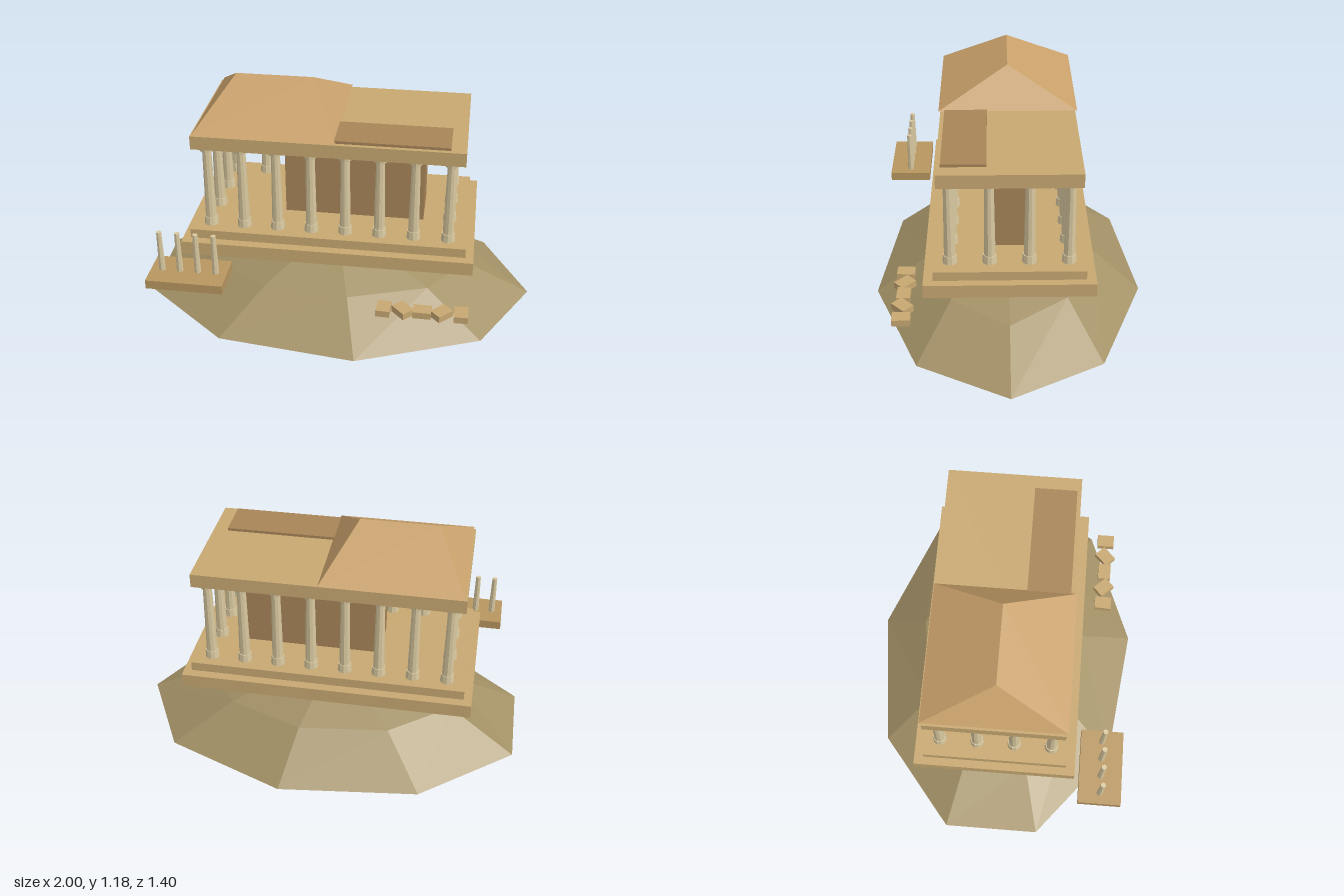
import * as THREE from 'three';

const mat = (color) => new THREE.MeshStandardMaterial({ color, flatShading: true });
const STONE = mat(0xc8a872), PALE = mat(0xd9c9a0), WALL = mat(0xa88558), ROOF = mat(0xc8a06a), EARTH = mat(0xa39166);
const CX = -0.035; // the temple sits slightly off centre

function add(parent, name, geometry, material, x = 0, y = 0, z = 0) {
  const mesh = new THREE.Mesh(geometry, material);
  mesh.name = name;
  mesh.position.set(x, y, z);
  parent.add(mesh);
  return mesh;
}

// box given by its min and max on each axis
function slab(parent, name, material, [x0, x1], [y0, y1], [z0, z1]) {
  return add(parent, name, new THREE.BoxGeometry(x1 - x0, y1 - y0, z1 - z0), material,
    (x0 + x1) / 2, (y0 + y1) / 2, (z0 + z1) / 2);
}

// faceted oval mound: a two-step cone whose middle ring is uneven
function hill() {
  const height = 0.365;
  const geo = new THREE.ConeGeometry(1, height, 9, 2);
  geo.rotateY(Math.PI / 2);
  geo.translate(0, height / 2, 0);
  const ringY = [0.16, 0.19, 0.205, 0.2, 0.2, 0.145, 0.18, 0.18, 0.18];
  const ringR = [0.67, 0.64, 0.65, 0.64, 0.65, 0.66, 0.62, 0.61, 0.64];
  const p = geo.attributes.position;
  for (let i = 10; i < 20; i++) {
    const k = (i - 10) % 9, r = ringR[k] / 0.5;
    p.setXYZ(i, p.getX(i) * r, ringY[k], p.getZ(i) * r);
  }
  geo.scale(1.031, 1, 0.71);
  geo.translate(-0.031, 0, 0);
  return geo;
}

// hipped roof: a box whose top edge is drawn in to a ridge
function hipRoof(x0, x1, ridge0, ridge1, y0, y1, halfZ) {
  const geo = new THREE.BoxGeometry(2, 2, 2).toNonIndexed();
  const p = geo.attributes.position;
  for (let i = 0; i < p.count; i++) {
    const left = p.getX(i) < 0;
    if (p.getY(i) > 0) p.setXYZ(i, left ? ridge0 : ridge1, y1, 0);
    else p.setXYZ(i, left ? x0 : x1, y0, p.getZ(i) * halfZ);
  }
  geo.computeVertexNormals();
  return geo;
}

function column(x, z) {
  const g = new THREE.Group();
  g.name = 'column';
  g.position.set(x, 0.478, z);
  add(g, 'columnBase', new THREE.CylinderGeometry(0.032, 0.036, 0.042, 10), PALE, 0, 0.021, 0);
  add(g, 'columnShaft', new THREE.CylinderGeometry(0.022, 0.028, 0.38, 10), PALE, 0, 0.23, 0);
  add(g, 'columnCapital', new THREE.CylinderGeometry(0.036, 0.034, 0.025, 10), PALE, 0, 0.43, 0);
  return g;
}

export function createModel() {
  const model = new THREE.Group();
  model.name = 'templeRuin';
  add(model, 'hill', hill(), EARTH);

  // stepped platform, inner chamber and beam slab
  const temple = new THREE.Group();
  temple.name = 'temple';
  model.add(temple);
  slab(temple, 'lowerStep', STONE, [CX - 0.73, CX + 0.73], [0.36, 0.43], [-0.412, 0.412]);
  slab(temple, 'upperStep', STONE, [CX - 0.69, CX + 0.69], [0.43, 0.478], [-0.365, 0.365]);
  slab(temple, 'innerChamber', WALL, [-0.28, 0.43], [0.478, 0.8], [-0.115, 0.115]);
  slab(temple, 'beamSlab', STONE, [CX - 0.665, CX + 0.665], [0.92, 0.99], [-0.338, 0.338]);

  // colonnade around the perimeter, 8 by 4
  for (let i = 0; i < 8; i++) {
    for (let j = 0; j < 4; j++) {
      if (i % 7 && j % 3) continue;
      temple.add(column(CX + (i - 3.5) * 0.171, (j - 1.5) * 0.19));
    }
  }

  // surviving half of the roof and a fallen panel
  add(temple, 'roof', hipRoof(-0.69, 0.005, -0.535, -0.145, 0.998, 1.185, 0.347), ROOF);
  slab(temple, 'roofPanel', WALL, [0, 0.555], [0.988, 1.004], [0.105, 0.317]);

  // side porch with four thin posts
  const porch = new THREE.Group();
  porch.name = 'porch';
  model.add(porch);
  slab(porch, 'porchFloor', mat(0xb8965f), [-0.882, -0.5], [0.308, 0.354], [0.44, 0.66]);
  for (let i = 0; i < 4; i++) {
    add(porch, 'porchPost', new THREE.CylinderGeometry(0.013, 0.017, 0.215, 8), PALE, -0.826 + i * 0.09, 0.4615, 0.55);
  }

  // row of loose blocks, each turned further
  for (let i = 0; i < 5; i++) {
    const block = add(model, 'looseBlock', new THREE.BoxGeometry(0.068, 0.035, 0.09), STONE, 0.273 + i * 0.095, 0.203, 0.527);
    block.rotation.y = -0.05 + i * 0.8;
  }
  return model;
}
